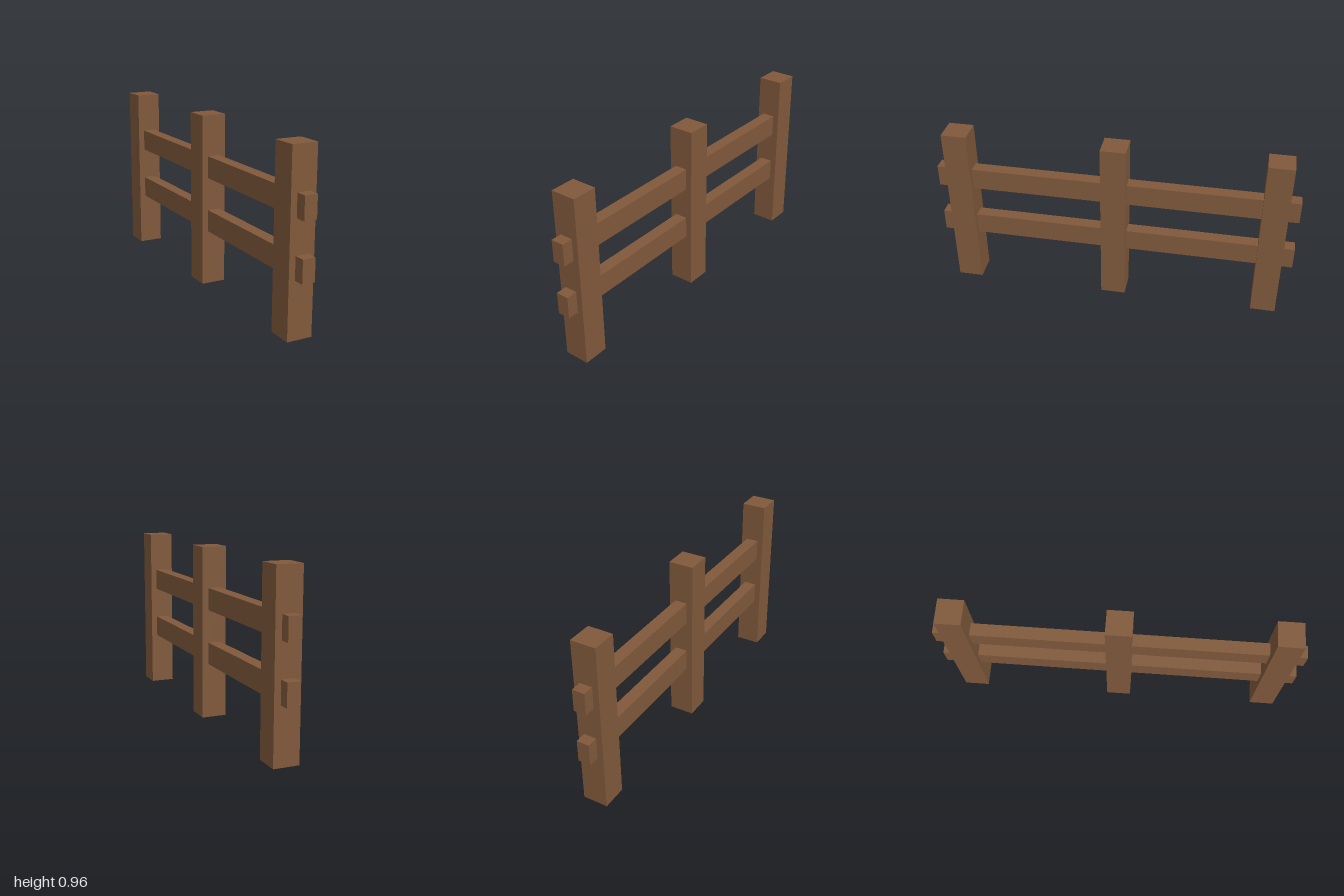
import * as THREE from 'three';

const wood = new THREE.MeshStandardMaterial({ color: 0x80593b, side: THREE.DoubleSide });
wood.name = 'brown wood';

// A beam standing on y = bottom, with no underside
function beam(name, width, height, depth, bottom, z) {
  const geometry = new THREE.BoxGeometry(width, height, depth);
  const index = Array.from(geometry.index.array);
  index.splice(18, 6); // drop the two triangles facing down
  geometry.setIndex(index);
  geometry.clearGroups();
  const mesh = new THREE.Mesh(geometry, wood);
  mesh.name = name;
  mesh.position.set(0, bottom + height / 2, z);
  return mesh;
}

export function createModel() {
  const fence = new THREE.Group();
  fence.name = 'fence';

  // Three upright posts
  [['frontPost', 0.87], ['middlePost', 0], ['backPost', -0.87]].forEach(([name, z]) =>
    fence.add(beam(name, 0.139, 0.957, 0.139, 0, z)));

  // Two long rails running through the posts
  [['lowerRail', 0.306], ['upperRail', 0.61]].forEach(([name, y]) =>
    fence.add(beam(name, 0.07, 0.122, 2, y, 0)));

  return fence;
}
